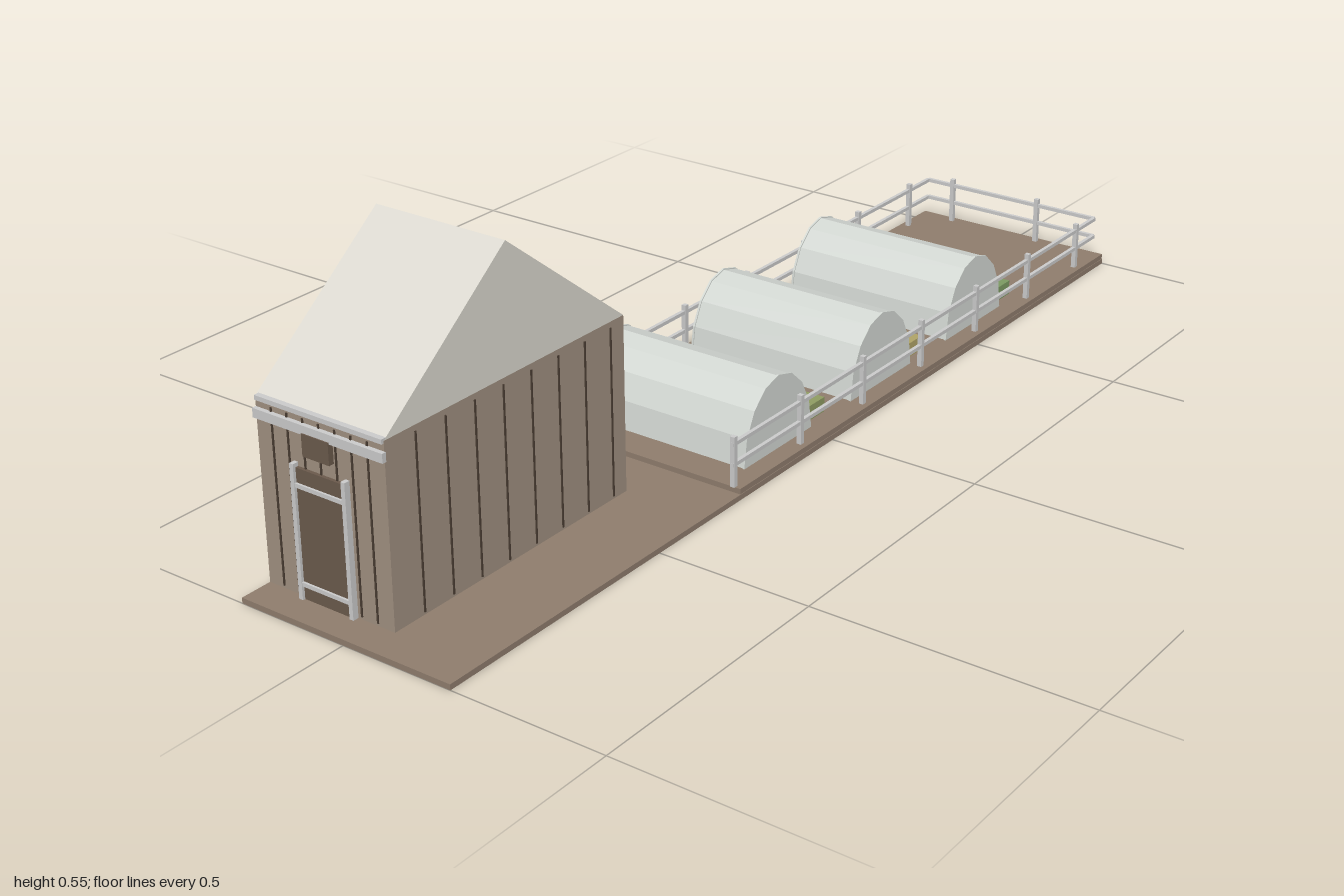
import * as THREE from 'three';

const mat = (color) => new THREE.MeshStandardMaterial({ color, flatShading: true });
const SOIL = mat(0x8f7d6d), WALL = mat(0xa09080), DARK = mat(0x6b5a4c), SLIT = mat(0x4a3d33);
const ROOF = mat(0xdcd9d0), FILM = mat(0xd3d8d3), GREY = mat(0xcccccc);

// Box given by its min and max on each axis
function box(parent, name, m, [x0, x1], [y0, y1], [z0, z1]) {
  const mesh = new THREE.Mesh(new THREE.BoxGeometry(x1 - x0, y1 - y0, z1 - z0), m);
  mesh.position.set((x0 + x1) / 2, (y0 + y1) / 2, (z0 + z1) / 2);
  mesh.name = name;
  parent.add(mesh);
  return mesh;
}

// Symmetric (z, y) profile swept along x
function sweep(parent, name, m, points, x0, x1, z) {
  const shape = new THREE.Shape(points.map(([a, b]) => new THREE.Vector2(a, b)));
  const geo = new THREE.ExtrudeGeometry(shape, { depth: x1 - x0, bevelEnabled: false });
  geo.rotateY(Math.PI / 2);
  const mesh = new THREE.Mesh(geo, m);
  mesh.position.set(x0, 0, z);
  mesh.name = name;
  parent.add(mesh);
}

function arch(radius, height, base, segments = 8) {
  return Array.from({ length: segments + 1 }, (_, i) => {
    const a = (Math.PI * i) / segments;
    return [radius * Math.cos(a), base + height * Math.sin(a)];
  });
}

function group(parent, name) {
  const g = new THREE.Group();
  g.name = name;
  parent.add(g);
  return g;
}

function buildShed(parent) {
  const shed = group(parent, 'shed');
  const L = -0.213, R = 0.05, B = 0.377, F = 0.94;
  box(shed, 'walls', WALL, [L, R], [0.01, 0.33], [B, F]);
  const half = (F - B) / 2;
  sweep(shed, 'gableRoof', ROOF, [[half, 0.33], [0, 0.552], [-half, 0.33]], L, R, B + half);

  // Dark gaps between the wall planks, on the front and the +x side
  for (let i = 1; i <= 8; i++) {
    const x = L + i * 0.0328, z = F - i * 0.066;
    if (i < 8) box(shed, 'frontPlankGap', SLIT, [x - 0.0015, x + 0.0015], [0.015, 0.32], [F - 0.002, F + 0.002]);
    box(shed, 'sidePlankGap', SLIT, [R - 0.002, R + 0.002], [0.015, 0.32], [z - 0.0015, z + 0.0015]);
  }

  // Eave trim over the front wall
  box(shed, 'eaveTrim', GREY, [-0.21, R], [0.326, 0.334], [F - 0.006, F + 0.005]);
  box(shed, 'fasciaBoard', GREY, [L, 0.053], [0.297, 0.313], [F, F + 0.008]);

  // Door with its frame, and the plain board above it
  const door = group(shed, 'door');
  box(door, 'doorPanel', DARK, [-0.133, -0.031], [0.01, 0.236], [F, F + 0.006]);
  for (const x of [-0.139, -0.033]) box(door, 'doorPost', GREY, [x, x + 0.008], [0.01, 0.243], [F, F + 0.011]);
  for (const y of [0.034, 0.204]) box(door, 'doorBar', GREY, [-0.133, -0.031], [y, y + 0.007], [F, F + 0.01]);
  box(shed, 'doorBoard', DARK, [-0.11, -0.055], [0.262, 0.3], [F, F + 0.01]);
}

function buildFence(parent) {
  const fence = group(parent, 'fence');
  const X = 0.197, Z0 = -0.985, Z1 = 0.28, p = 0.0045, r = 0.0035;
  const post = (x, z) => box(fence, 'fencePost', GREY, [x - p, x + p], [0.02, 0.113], [z - p, z + p]);
  for (const x of [-X, X]) for (let i = 0; i < 7; i++) post(x, 0.275 - i * 0.197);
  for (const x of [-0.137, 0.064]) post(x, Z0);
  for (const y of [0.061, 0.099]) {
    for (const x of [-X, X]) box(fence, 'sideRail', GREY, [x - r, x + r], [y - r, y + r], [Z0, Z1]);
    box(fence, 'backRail', GREY, [-X, X], [y - r, y + r], [Z0 - r, Z0 + r]);
  }
}

export function createModel() {
  const model = new THREE.Group();
  model.name = 'gardenPlot';

  // Ground slab and the raised growing field
  box(model, 'ground', SOIL, [-0.213, 0.213], [0, 0.01], [-1, 1]);
  box(model, 'field', SOIL, [-0.212, 0.212], [0.01, 0.02], [-1, 0.277]);

  buildShed(model);
  buildFence(model);

  // Polytunnels, each with a planted bed behind it
  const crops = [0x8f9c62, 0xb0a468, 0x7c9a62];
  crops.forEach((color, i) => {
    const z = 0.114 - i * 0.328;
    const plot = group(model, 'tunnelPlot');
    sweep(plot, 'polytunnel', FILM, arch(0.099, 0.136, 0.02), -0.178, 0.173, z);
    for (const x of [-0.18, 0.172]) sweep(plot, 'tunnelEnd', FILM, arch(0.101, 0.138, 0.02), x, x + 0.004, z);
    box(plot, 'cropBed', mat(color), [-0.163, 0.16], [0.02, 0.048], [z - 0.166, z - 0.114]);
  });
  return model;
}
